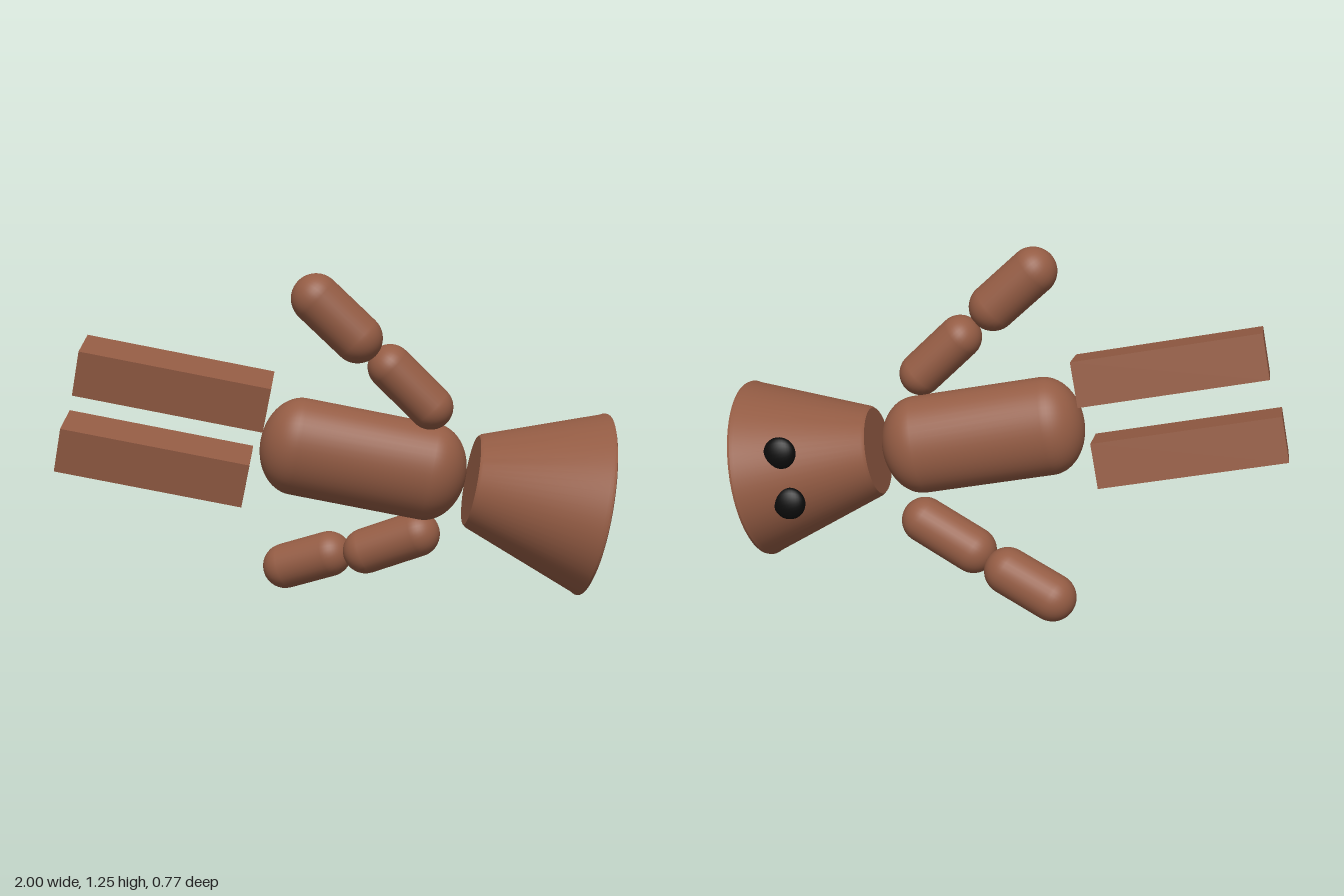
import * as THREE from 'three';
import { toCreasedNormals } from 'three/addons/utils/BufferGeometryUtils.js';

const brown = new THREE.MeshStandardMaterial({ color: 0x945c44 });
brown.name = 'brown';
const black = new THREE.MeshStandardMaterial({ color: 0x0b0b0b });
black.name = 'black';

function add(parent, name, geometry, material, position) {
  const mesh = new THREE.Mesh(geometry, material);
  mesh.name = name;
  mesh.position.set(...position);
  parent.add(mesh);
  return mesh;
}

// Capsule arm segment: centre, direction, radius, half length of the straight part
function armSegment(parent, name, centre, dir, radius, half, depth = 1) {
  const geometry = new THREE.CapsuleGeometry(radius, half * 2, 12, 32);
  const mesh = add(parent, name, geometry, brown, centre);
  mesh.quaternion.setFromUnitVectors(
    new THREE.Vector3(0, 1, 0), new THREE.Vector3(...dir).normalize());
  mesh.scale.z = depth;
}

export function createModel() {
  const model = new THREE.Group();
  model.name = 'lyingFigure';

  // Body frame: x across the shoulders, y towards the head, z towards the face
  const body = new THREE.Group();
  body.name = 'body';
  const up = new THREE.Vector3(0.98, -0.196, -0.031).normalize();
  const face = new THREE.Vector3(0.003, 0.173, -0.985);
  const side = new THREE.Vector3().crossVectors(up, face).normalize();
  face.crossVectors(side, up);
  body.quaternion.setFromRotationMatrix(new THREE.Matrix4().makeBasis(side, up, face));
  body.position.set(0.105, 0.576, 0.027);
  model.add(body);

  // Torso with flattened round ends
  const torso = new THREE.CapsuleGeometry(0.18, 0.63, 16, 48);
  torso.scale(1, 0.76, 0.84);
  add(body, 'torso', torso, brown, [0, 0, 0]);

  // Head: oval cone widening away from the neck, with a slightly rounded rim
  const profile = [[0, 0], [0.19, 0], [0.2, 0.01], [0.38, 0.427], [0.388, 0.44], [0.386, 0.448], [0.375, 0.452], [0, 0.452]]
    .map(([r, y]) => new THREE.Vector2(r, y));
  const head = new THREE.LatheGeometry(profile, 64);
  head.scale(0.835, 1, 1);
  add(body, 'head', toCreasedNormals(head, 0.6), brown, [0, 0.398, 0]);

  // Eyes
  for (const s of [1, -1]) {
    const eye = new THREE.SphereGeometry(0.058, 24, 16);
    eye.scale(1, 1, 0.5);
    add(body, s > 0 ? 'upperEye' : 'lowerEye', eye, black, [s * 0.092, 0.673, 0.305]);
  }

  // Legs
  const leg = new THREE.BoxGeometry(0.166, 0.682, 0.195);
  add(body, 'upperLeg', leg, brown, [0.147, -0.715, -0.002]);
  add(body, 'lowerLeg', leg, brown, [-0.153, -0.739, 0.002]);

  // Raised arm
  const raised = new THREE.Group();
  raised.name = 'raisedArm';
  armSegment(raised, 'raisedUpperArm', [0.272, 0.852, 0.1], [-0.71, 0.71, 0.03], 0.08, 0.102, 1.11);
  armSegment(raised, 'raisedForearm', [0.013, 1.1, 0.147], [-0.72, 0.69, 0.02], 0.088, 0.1);
  model.add(raised);

  // Lowered arm
  const lowered = new THREE.Group();
  lowered.name = 'loweredArm';
  armSegment(lowered, 'loweredUpperArm', [0.209, 0.232, -0.11], [-0.094, -0.04, -0.028], 0.085, 0.107);
  armSegment(lowered, 'loweredForearm', [-0.11, 0.125, -0.252], [-0.085, -0.032, -0.029], 0.086, 0.095);
  model.add(lowered);

  return model;
}
